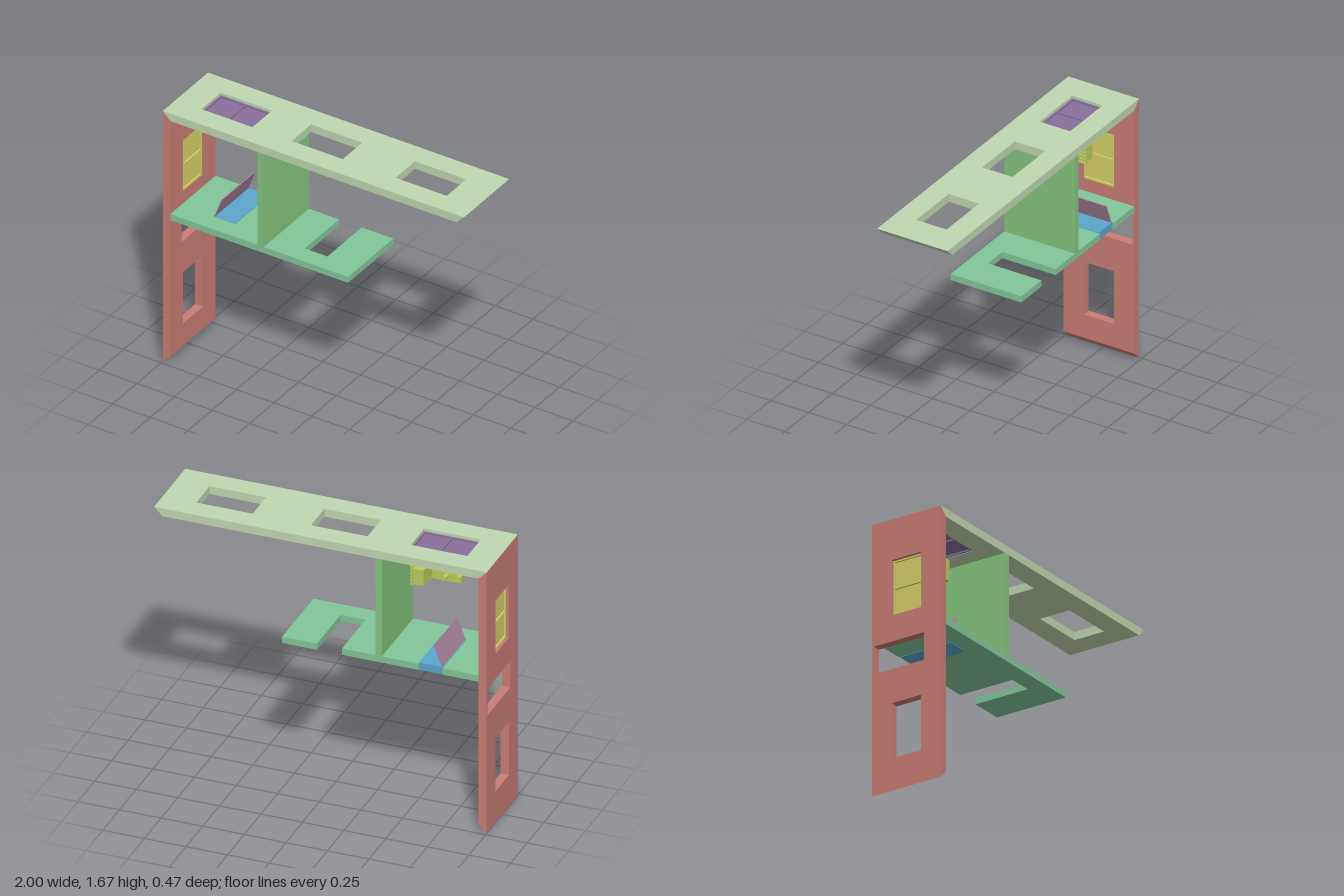
import * as THREE from 'three';

const W = 0.233; // half depth of the slabs
const T = 0.05;  // thickness of roof and wall

function mesh(name, geo, color) {
  const m = new THREE.Mesh(geo, new THREE.MeshStandardMaterial({ color }));
  m.name = name;
  return m;
}

function box(name, color, x0, x1, y0, y1, z0, z1) {
  const m = mesh(name, new THREE.BoxGeometry(x1 - x0, y1 - y0, z1 - z0), color);
  m.position.set((x0 + x1) / 2, (y0 + y1) / 2, (z0 + z1) / 2);
  return m;
}

const rect = (a, b, c, d) => [[a, c], [b, c], [b, d], [a, d]].map(p => new THREE.Vector2(...p));

// Flat panel with rectangular openings [u0, u1, v0, v1]
function panel(outline, holes, depth) {
  const shape = new THREE.Shape(outline);
  for (const h of holes) shape.holes.push(new THREE.Path(rect(...h)));
  return new THREE.ExtrudeGeometry(shape, { depth, bevelEnabled: false });
}

// Slide the vertices chosen by the rule, to cut mitred ends
function mitre(geo, rule) {
  const p = geo.attributes.position;
  const v = new THREE.Vector3();
  for (let i = 0; i < p.count; i++) {
    rule(v.fromBufferAttribute(p, i));
    p.setXYZ(i, v.x, v.y, v.z);
  }
  geo.computeVertexNormals();
  return geo;
}

// Two-pane window lying in the XY plane, long side along x
function paneWindow(name, color) {
  const g = new THREE.Group();
  g.name = name;
  const L = 0.17, H = 0.1, f = 0.01;
  const holes = [[-L + f, -f / 2, -H + f, H - f], [f / 2, L - f, -H + f, H - f]];
  const frame = mesh(name + 'Frame', panel(rect(-L, L, -H, H), holes, 0.03), color);
  frame.position.z = -0.015;
  g.add(frame, box(name + 'Glass', color, -L + f, L - f, -H + f, H - f, -0.005, 0.005));
  return g;
}

// Small wall-hung apparatus: back plate, cabinet, grille, roller and knob
function apparatus() {
  const g = new THREE.Group();
  g.name = 'apparatus';
  const c = 0xbccc5c;
  g.add(box('plate', c, -0.78, -0.52, 1.46, 1.59, -0.06, -0.04));
  g.add(box('cabinet', c, -0.6, -0.535, 1.47, 1.57, -0.18, -0.06));
  for (let i = 0; i < 6; i++) {
    const y = 1.465 + i * 0.022, z = -0.185 + i * 0.022;
    g.add(box('grilleSlat', c, -0.53, -0.52, y, y + 0.01, -0.185, -0.06));
    g.add(box('grilleBar', c, -0.535, -0.525, 1.465, 1.585, z, z + 0.008));
  }
  const rod = (name, r, x, y, z, len) => {
    const m = mesh(name, new THREE.CylinderGeometry(r, r, len, 20), c);
    m.rotation.x = Math.PI / 2;
    m.position.set(x, y, z);
    g.add(m);
  };
  rod('roller', 0.018, -0.78, 1.525, -0.08, 0.09);
  rod('knob', 0.015, -0.69, 1.5, -0.08, 0.06);
  return g;
}

export function createModel() {
  const model = new THREE.Group();
  model.name = 'sectionModel';

  // Roof slab with three skylight openings and mitred ends
  const skylights = [-0.66, -0.06, 0.63].map(x => [x - 0.17, x + 0.17, -0.1, 0.1]);
  const roof = panel(rect(-1, 1, -W, W), skylights, T).rotateX(-Math.PI / 2);
  mitre(roof, v => { if (Math.abs(v.x) > 0.99 && v.y < T / 2) v.x -= Math.sign(v.x) * T; });
  roof.translate(0, 1.62, 0);
  model.add(mesh('roof', roof, 0xc0d6b0));

  // End wall with door, slot and window openings, mitred top and bottom
  const openings = [[-0.1, 0.1, 0.2, 0.54], [-0.12, 0.22, 0.75, 0.92], [-0.1, 0.1, 1.08, 1.42]];
  const wall = panel(rect(-W, W, 0, 1.67), openings, T).rotateY(Math.PI / 2);
  mitre(wall, v => {
    if (v.x > T / 2 && v.y < 0.01) v.y += T;
    if (v.x > T / 2 && v.y > 1.66) v.y -= T;
  });
  wall.translate(-1, 0, 0);
  model.add(mesh('endWall', wall, 0xc87c74));

  // Floor slab with two notches open at the back
  const n = -0.12;
  const floor = panel([
    [-0.95, -W], [0.23, -W], [0.23, W], [0.02, W], [0.02, n], [-0.13, n], [-0.13, W],
    [-0.59, W], [-0.59, n], [-0.735, n], [-0.735, W], [-0.95, W],
  ].map(p => new THREE.Vector2(...p)), [], 0.04).rotateX(-Math.PI / 2).translate(0, 0.96, 0);
  model.add(mesh('floor', floor, 0x82c69a));

  model.add(box('divider', 0x84c47c, -0.37, -0.33, 1, 1.62, -W, W));

  // Floor hatch and its raised lid
  model.add(box('hatch', 0x5aa6cc, -0.735, -0.59, 0.957, 1.004, -0.225, 0.12));
  const lid = mesh('hatchLid', new THREE.BoxGeometry(0.006, 0.137, 0.34).translate(0, 0.0685, 0), 0xa8829a);
  lid.position.set(-0.728, 1.002, -0.05);
  lid.rotation.z = -0.36;
  model.add(lid);

  // Windows in the roof and the wall
  const skylight = paneWindow('skylight', 0x88709c);
  skylight.rotation.x = -Math.PI / 2;
  skylight.position.set(-0.66, 1.638, 0);
  const wallWindow = paneWindow('wallWindow', 0xd4d068);
  wallWindow.rotation.set(0, Math.PI / 2, Math.PI / 2, 'YXZ');
  wallWindow.position.set(-0.968, 1.25, 0);
  model.add(skylight, wallWindow, apparatus());

  return model;
}
